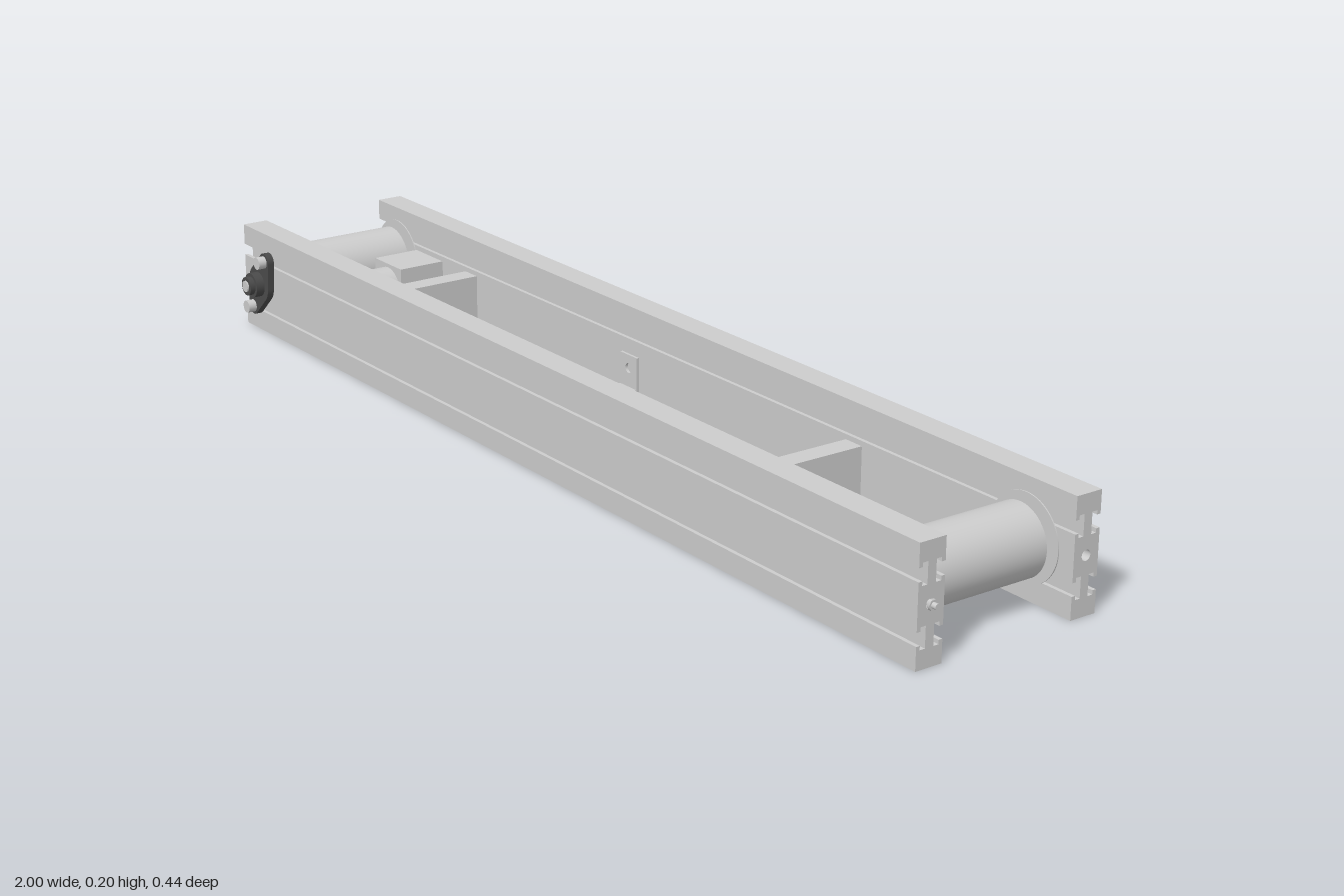
import * as THREE from 'three';

const grey = new THREE.MeshStandardMaterial({ color: 0xcccccc });
const dark = new THREE.MeshStandardMaterial({ color: 0x4a4a4a });

function add(parent, name, geometry, x, y, z, material = grey) {
  const mesh = new THREE.Mesh(geometry, material);
  mesh.name = name;
  mesh.position.set(x, y, z);
  parent.add(mesh);
  return mesh;
}

const box = (parent, name, x0, x1, y0, y1, z0, z1, material) =>
  add(parent, name, new THREE.BoxGeometry(x1 - x0, y1 - y0, z1 - z0),
    (x0 + x1) / 2, (y0 + y1) / 2, (z0 + z1) / 2, material);

// Cylinder whose axis runs across the machine, along z
const rod = (parent, name, x, y, z0, z1, r, material, sides = 40) =>
  add(parent, name, new THREE.CylinderGeometry(r, r, z1 - z0, sides).rotateX(Math.PI / 2),
    x, y, (z0 + z1) / 2, material);

function circleHole(x, y, r) {
  return new THREE.Path().absarc(x, y, r, 0, Math.PI * 2, true);
}

const extrude = (shape, depth) =>
  new THREE.ExtrudeGeometry(shape, { depth, bevelEnabled: false, curveSegments: 16 });

// Outline of two circles joined by their common tangents
function loopPath(x0, r0, x1, r1, Type) {
  const a = Math.acos((r0 - r1) / (x1 - x0));
  return new Type()
    .absarc(x0, 0, r0, a, Math.PI * 2 - a, false)
    .absarc(x1, 0, r1, -a, a, false);
}

// Slotted side rail: T slots at two heights on both faces
function railGeometry() {
  const half = 0.025;
  const side = [[half, 0]];
  for (const y of [0.05, 0.15]) {
    side.push([half, y - 0.011], [half - 0.007, y - 0.011], [half - 0.007, y - 0.018],
      [half - 0.017, y - 0.018], [half - 0.017, y + 0.018], [half - 0.007, y + 0.018],
      [half - 0.007, y + 0.011], [half, y + 0.011]);
  }
  side.push([half, 0.2]);
  const other = side.map(([z, y]) => [-z, y]).reverse();
  const shape = new THREE.Shape([...side, ...other].map(([z, y]) => new THREE.Vector2(z, y)));
  shape.holes.push(circleHole(0, 0.1, 0.009));
  return extrude(shape, 1.985).rotateY(-Math.PI / 2);
}

// Two-bolt flange bearing, built facing +z
function flangeBearing(name) {
  const g = new THREE.Group();
  g.name = name;
  const tilt = 1.12;
  const outline = new THREE.Shape();
  const reach = 0.055, tip = 0.017, mid = 0.037;
  const a = Math.acos((mid - tip) / reach);
  outline.absarc(reach, 0, tip, -a, a, false);
  outline.absarc(0, 0, mid, a, Math.PI - a, false);
  outline.absarc(-reach, 0, tip, Math.PI - a, Math.PI + a, false);
  outline.absarc(0, 0, mid, Math.PI + a, Math.PI * 2 - a, false);
  add(g, 'flangePlate', extrude(outline, 0.013).rotateZ(tilt), 0, 0, 0, dark);
  rod(g, 'bearingHub', 0, 0, 0.013, 0.03, 0.024, dark);
  rod(g, 'bearingCollar', 0, 0, 0.03, 0.04, 0.018, dark);
  rod(g, 'shaftEnd', 0, 0, 0.04, 0.043, 0.011);
  for (const s of [-1, 1]) {
    rod(g, 'flangeBolt', s * reach * Math.cos(tilt), s * reach * Math.sin(tilt), 0.013, 0.029, 0.012, grey, 24);
  }
  return g;
}

export function createModel() {
  const model = new THREE.Group();
  model.name = 'conveyorFrame';
  const driveX = -0.93, idleX = 0.88, motorX = -0.74, axisY = 0.1;

  // Side rails
  const rail = railGeometry();
  add(model, 'leftRail', rail, 0.985, 0, 0.153);
  add(model, 'rightRail', rail, 0.985, 0, -0.153);

  // Rollers with their shafts and thin end rings
  rod(model, 'driveRoller', driveX, axisY, -0.115, 0.085, 0.0615, grey, 64);
  rod(model, 'driveShaft', driveX, axisY, -0.18, 0.18, 0.012);
  rod(model, 'idleRoller', idleX, axisY, -0.115, 0.126, 0.0615, grey, 64);
  rod(model, 'idleShaft', idleX, axisY, -0.14, 0.14, 0.01);
  for (const x of [driveX, idleX]) {
    for (const z of [-0.128, 0.126]) rod(model, 'endRing', x, axisY, z, z + 0.002, 0.074, grey, 64);
  }

  // Flange bearings on the outside of both rails
  for (const s of [1, -1]) {
    const bearing = flangeBearing(s > 0 ? 'leftBearing' : 'rightBearing');
    bearing.position.set(driveX + 0.005, axisY, s * 0.178);
    if (s < 0) bearing.rotation.y = Math.PI;
    model.add(bearing);
  }

  // Bed plate and cross bars
  box(model, 'bedPlate', -0.64, 0.8, 0.038, 0.046, -0.128, 0.128);
  box(model, 'motorCrossBar', -0.68, -0.64, 0.04, 0.13, -0.128, 0.128);
  box(model, 'middleCrossBar', 0.46, 0.5, 0.046, 0.13, -0.128, 0.128);

  // Small angle brackets on the bed, with a hole in the upright tab
  for (const s of [-1, 1]) {
    box(model, 'bracketFoot', -0.16, -0.11, 0.046, 0.051, s * 0.104 - 0.024, s * 0.104 + 0.024);
    const tab = new THREE.Shape([[-0.025, 0], [0.025, 0], [0.025, 0.065], [-0.025, 0.065]]
      .map(([x, y]) => new THREE.Vector2(x, y)));
    tab.holes.push(circleHole(0, 0.04, 0.009));
    add(model, 'bracketTab', extrude(tab, 0.005), -0.135, 0.046, s * 0.1255 - 0.0025);
  }

  // Motor, gearbox and mounting bracket
  box(model, 'motorBox', motorX - 0.06, motorX + 0.035, 0.055, 0.15, -0.092, 0.002);
  rod(model, 'motorBody', motorX - 0.012, axisY, 0.002, 0.08, 0.043, grey, 48);
  rod(model, 'motorShaft', motorX, axisY, 0.08, 0.124, 0.009);
  box(model, 'motorMountPlate', -0.79, -0.68, 0.048, 0.054, -0.09, 0.075);
  const gusset = new THREE.Shape([[0, 0], [0.035, 0], [0.035, 0.08]]
    .map(([x, y]) => new THREE.Vector2(x, y)));
  for (const z of [-0.09, 0.069]) add(model, 'motorGusset', extrude(gusset, 0.006), -0.715, 0.05, z);

  // Drive belt and pulleys
  const span = motorX - driveX;
  const belt = loopPath(0, 0.038, span, 0.028, THREE.Shape);
  belt.holes.push(loopPath(0, 0.034, span, 0.024, THREE.Path));
  add(model, 'driveBelt', extrude(belt, 0.02), driveX, axisY, 0.094);
  rod(model, 'drivePulley', driveX, axisY, 0.092, 0.116, 0.034);
  rod(model, 'motorPulley', motorX, axisY, 0.092, 0.116, 0.024);

  // Access hole on the outside of the right rail
  const rim = new THREE.RingGeometry(0.013, 0.018, 32).rotateY(Math.PI);
  add(model, 'accessHoleRim', rim, -0.77, axisY, -0.179);
  const hole = new THREE.CircleGeometry(0.013, 32).rotateY(Math.PI);
  add(model, 'accessHole', hole, -0.77, axisY, -0.179, dark);

  // Tension screw at the end of the left rail
  const screw = new THREE.CylinderGeometry(0.005, 0.005, 0.06, 20).rotateZ(Math.PI / 2);
  add(model, 'tensionScrew', screw, 0.97, axisY, 0.153);
  const nut = new THREE.CylinderGeometry(0.009, 0.009, 0.006, 6).rotateZ(Math.PI / 2);
  add(model, 'tensionNut', nut, 0.988, axisY, 0.153);

  return model;
}
